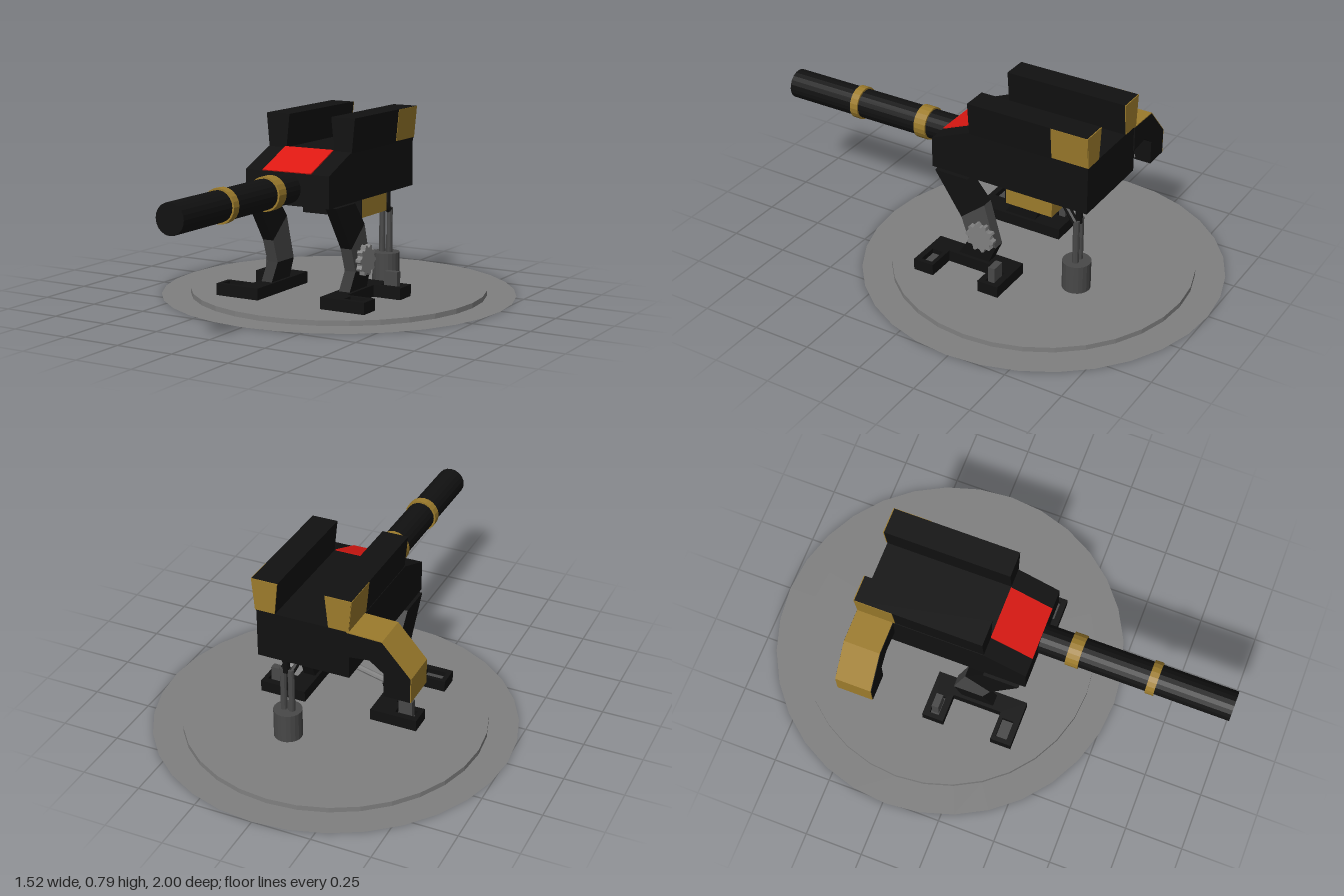
import * as THREE from 'three';

const BLACK = 0x111111, BRASS = 0x9c7b2c, RED = 0xdd1812, GREY = 0x808080, DARK = 0x484848;

const mat = (color) => new THREE.MeshStandardMaterial({ color, flatShading: true, side: THREE.DoubleSide });

export function createModel() {
  const model = new THREE.Group();

  const add = (name, geo, color, parent = model) => {
    const mesh = new THREE.Mesh(geo, mat(color));
    mesh.name = name;
    parent.add(mesh);
    return mesh;
  };
  const shapeOf = (pts) => new THREE.Shape(pts.map(([x, y]) => new THREE.Vector2(x, y)));
  const extrude = (shape, depth) => new THREE.ExtrudeGeometry(shape, { depth, bevelEnabled: false });

  // profile in (x, y), extruded from z0 to z1
  const prismZ = (name, color, pts, z0, z1, parent) =>
    add(name, extrude(shapeOf(pts), z1 - z0).translate(0, 0, z0), color, parent);
  // profile in (z, y), extruded from x0 to x1
  const prismX = (name, color, pts, x0, x1, parent) =>
    add(name, extrude(shapeOf(pts), x1 - x0).rotateY(-Math.PI / 2).translate(x1, 0, 0), color, parent);
  // box given by its limits
  const box = (name, color, [x0, x1], [y0, y1], [z0, z1], parent) =>
    add(name, new THREE.BoxGeometry(x1 - x0, y1 - y0, z1 - z0)
      .translate((x0 + x1) / 2, (y0 + y1) / 2, (z0 + z1) / 2), color, parent);
  // round bar between two points
  const bar = (name, color, a, b, r, parent) => {
    const p = new THREE.Vector3(...a), q = new THREE.Vector3(...b);
    const mesh = add(name, new THREE.CylinderGeometry(r, r, p.distanceTo(q), 10), color, parent);
    mesh.position.copy(p).add(q).multiplyScalar(0.5);
    mesh.quaternion.setFromUnitVectors(new THREE.Vector3(0, 1, 0), q.sub(p).normalize());
    return mesh;
  };

  // hollow stepped base plate with a thin flat rim
  const basePts = [[0, 0.022], [0.635, 0.022], [0.635, 0], [0.76, 0]].map(([x, y]) => new THREE.Vector2(x, y));
  add('basePlate', new THREE.LatheGeometry(basePts, 32), GREY).position.z = -0.24;

  // body with sloped nose and red panel
  prismX('body', BLACK, [[0.18, 0.437], [0.18, 0.57], [0, 0.645], [-0.54, 0.645], [-0.54, 0.437]], -0.2, 0.195);
  prismX('nosePanel', RED, [[0.178, 0.571], [0.18, 0.575], [0, 0.65], [0, 0.645]], -0.12, 0.11);
  box('bellyBox', BRASS, [-0.125, 0.162], [0.348, 0.437], [-0.365, -0.151]);
  box('bellyFront', BLACK, [-0.125, 0.162], [0.348, 0.437], [-0.151, -0.148]);

  // barrel with two bands
  const barrel = new THREE.Group();
  barrel.name = 'barrel';
  model.add(barrel);
  const ring = (name, color, r, z0, z1) =>
    add(name, new THREE.CylinderGeometry(r, r, z1 - z0, 20).rotateX(Math.PI / 2)
      .translate(0, 0.507, (z0 + z1) / 2), color, barrel);
  ring('barrelTube', BLACK, 0.063, 0.16, 1);
  ring('frontBand', BRASS, 0.071, 0.643, 0.68);
  ring('rearBand', BRASS, 0.071, 0.3, 0.355);

  for (const s of [1, -1]) {
    const side = s > 0 ? 'left' : 'right';
    const fx = (pts) => pts.map(([x, y]) => [s * x, y]);
    const span = (a, b) => (s > 0 ? [a, b] : [-b, -a]);

    // flared tower with brass rear corner
    prismZ(side + 'Tower', BLACK, fx([[0.115, 0.64], [0.197, 0.64], [0.211, 0.785], [0.1, 0.785]]), -0.54, 0);
    prismZ(side + 'TowerSidePanel', BRASS, fx([[0.197, 0.648], [0.2, 0.648], [0.213, 0.784], [0.21, 0.784]]), -0.542, -0.38);
    prismZ(side + 'TowerBackPanel', BRASS, fx([[0.114, 0.648], [0.199, 0.648], [0.211, 0.784], [0.1, 0.784]]), -0.544, -0.54);

    // bent leg: thigh, shin, ankle
    const leg = new THREE.Group();
    leg.name = side + 'Leg';
    model.add(leg);
    const [x0, x1] = span(0.163, 0.214);
    prismX('thigh', BLACK, [[0.155, 0.437], [0, 0.437], [-0.08, 0.34], [0.03, 0.25]], x0, x1, leg);
    prismX('shin', DARK, [[0.03, 0.25], [-0.08, 0.34], [-0.135, 0.15], [-0.005, 0.15]], x0, x1, leg);
    prismX('ankle', BLACK, [[-0.005, 0.15], [-0.135, 0.15], [-0.1, 0.068], [0.045, 0.068]], x0, x1, leg);

    // U-shaped foot with a socket in each prong
    const plan = shapeOf(fx([[0.15, 0.175], [0.355, 0.175], [0.355, 0.083], [0.228, 0.083],
      [0.228, -0.133], [0.355, -0.133], [0.355, -0.228], [0.15, -0.228]]));
    for (const [z0, z1] of [[0.1, 0.15], [-0.2, -0.16]]) {
      plan.holes.push(shapeOf(fx([[0.25, z0], [0.335, z0], [0.335, z1], [0.25, z1]])));
      box('socketFloor', DARK, span(0.25, 0.335), [0.025, 0.05], [z0, z1], leg);
    }
    add('foot', extrude(plan, 0.05).rotateX(Math.PI / 2).translate(0, 0.072, 0), BLACK, leg);
    box('footBlock', DARK, span(0.262, 0.322), [0.05, 0.13], [-0.195, -0.165], leg);
  }

  // toothed wheel on the left knee
  const gear = new THREE.Shape();
  const teeth = 10;
  for (let i = 0; i < teeth * 4; i++) {
    const a = (i / (teeth * 4)) * Math.PI * 2, r = i % 4 < 2 ? 0.066 : 0.053;
    gear[i ? 'lineTo' : 'moveTo'](r * Math.cos(a), r * Math.sin(a));
  }
  add('kneeGear', extrude(gear, 0.026).rotateY(-Math.PI / 2).translate(0.238, 0.19, -0.07), GREY);

  // bent side arm, brass on the outside
  const outer = [[-0.19, 0.643], [-0.338, 0.638], [-0.457, 0.505], [-0.457, 0.397]];
  const inner = [[-0.347, 0.397], [-0.347, 0.5], [-0.287, 0.545], [-0.19, 0.535]];
  prismZ('sideArm', BLACK, [...outer, ...inner], -0.545, -0.388);
  const skin = outer.map(([x, y], i) => [x - (i > 1 ? 0.004 : 0.001), y + (i < 2 ? 0.004 : 0)]);
  prismZ('sideArmCover', BRASS, [...skin, ...outer.slice().reverse()], -0.544, -0.39);

  // pump with rods, links and supply pipe
  const pump = new THREE.Group();
  pump.name = 'pump';
  model.add(pump);
  add('pumpCylinder', new THREE.CylinderGeometry(0.06, 0.06, 0.126, 20).translate(0.112, 0.085, -0.458), DARK, pump);
  for (const x of [0.092, 0.127]) {
    bar('pumpRod', DARK, [x, 0.14, -0.46], [x, 0.345, -0.46], 0.014, pump);
    bar('pumpLink', BLACK, [x, 0.335, -0.455], [x - 0.03, 0.415, -0.37], 0.015, pump);
  }
  bar('pumpStem', BLACK, [0.112, 0.33, -0.462], [0.112, 0.44, -0.465], 0.015, pump);
  const path = new THREE.CatmullRomCurve3([[-0.4, 0.41, -0.47], [-0.33, 0.41, -0.46], [-0.03, 0.41, -0.385],
    [0.05, 0.4, -0.385], [0.1, 0.35, -0.45]].map((p) => new THREE.Vector3(...p)));
  add('supplyPipe', new THREE.TubeGeometry(path, 20, 0.012, 8), GREY, pump);

  return model;
}
